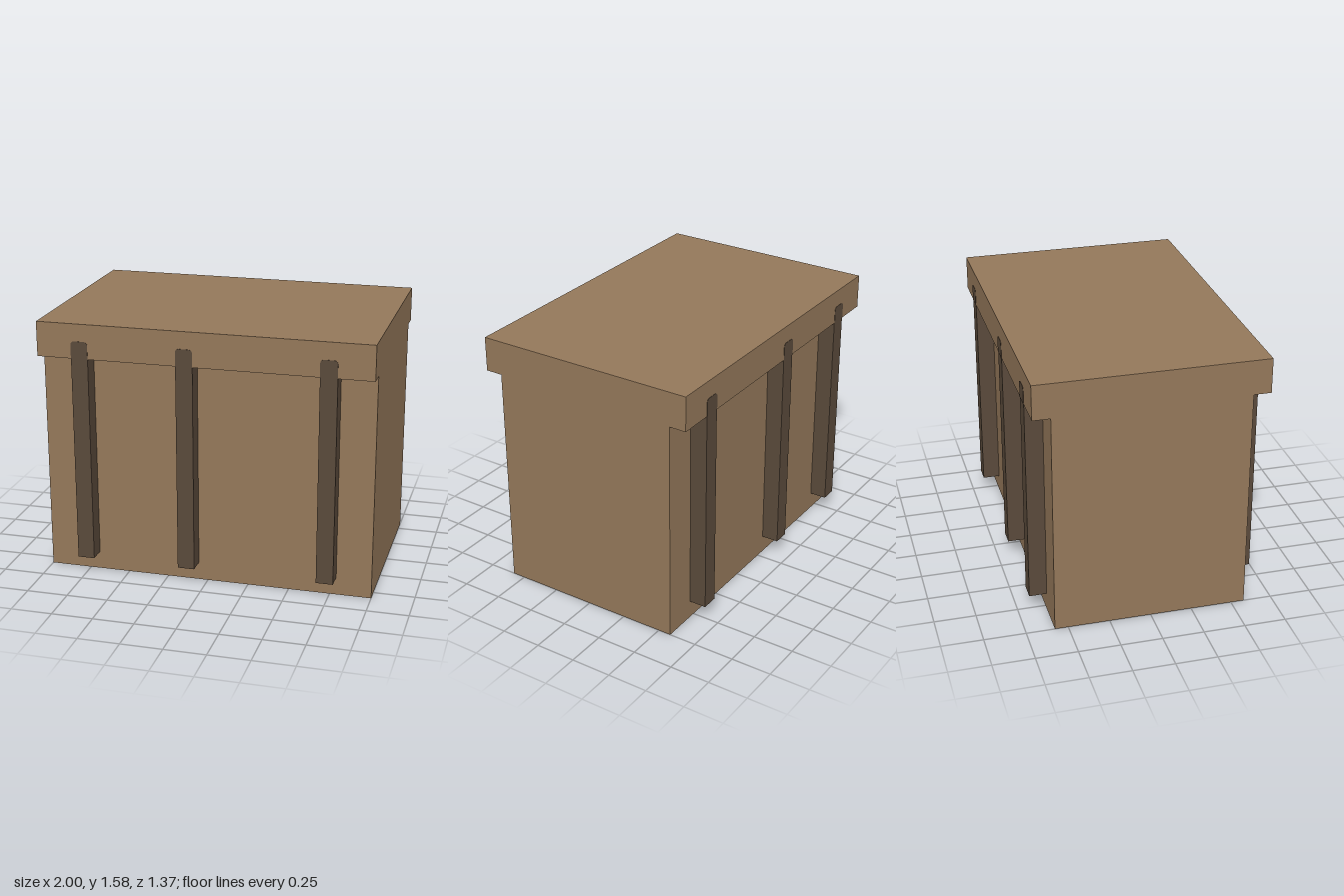
import * as THREE from 'three';

export function createModel() {
  const model = new THREE.Group();
  model.name = 'crate';

  const wood = new THREE.MeshStandardMaterial({ color: 0x94785a });
  wood.name = 'wood';
  const darkWood = new THREE.MeshStandardMaterial({ color: 0x5a4a3b });
  darkWood.name = 'dark wood';

  const bodyHalf = 0.58, lidHalf = 0.685, rim = 1.37, top = 1.58;

  function addBox(parent, name, material, size, position) {
    const mesh = new THREE.Mesh(new THREE.BoxGeometry(...size), material);
    mesh.name = name;
    mesh.position.set(...position);
    parent.add(mesh);
  }

  addBox(model, 'body', wood, [2, rim, bodyHalf * 2], [0, rim / 2, 0]);
  addBox(model, 'lid', wood, [2, top - rim, lidHalf * 2], [0, (rim + top) / 2, 0]);

  // Strap tip: thin plate with rounded upper corners, lying on the lid edge
  const w = 0.051, h = 0.105, r = 0.022;
  const tipShape = new THREE.Shape();
  tipShape.moveTo(-w, 0);
  tipShape.lineTo(w, 0);
  tipShape.lineTo(w, h - r);
  tipShape.absarc(w - r, h - r, r, 0, Math.PI / 2);
  tipShape.absarc(-w + r, h - r, r, Math.PI / 2, Math.PI);
  tipShape.closePath();
  const tipGeometry = new THREE.ExtrudeGeometry(tipShape, { depth: 0.003, bevelEnabled: false, curveSegments: 5 });

  // Three uneven straps on the front and the same on the back
  const postBottom = 0.11;
  for (const side of [1, -1]) {
    for (const x of [-0.74, -0.107, 0.737]) {
      const strap = new THREE.Group();
      strap.name = side > 0 ? 'frontStrap' : 'backStrap';
      strap.position.x = x;
      strap.rotation.y = side > 0 ? 0 : Math.PI;
      addBox(strap, 'strapPost', darkWood, [w * 2, rim - postBottom, lidHalf - bodyHalf],
        [0, (rim + postBottom) / 2, (lidHalf + bodyHalf) / 2]);
      const tip = new THREE.Mesh(tipGeometry, darkWood);
      tip.name = 'strapTip';
      tip.position.set(0, rim, lidHalf - 0.001);
      strap.add(tip);
      model.add(strap);
    }
  }
  return model;
}
